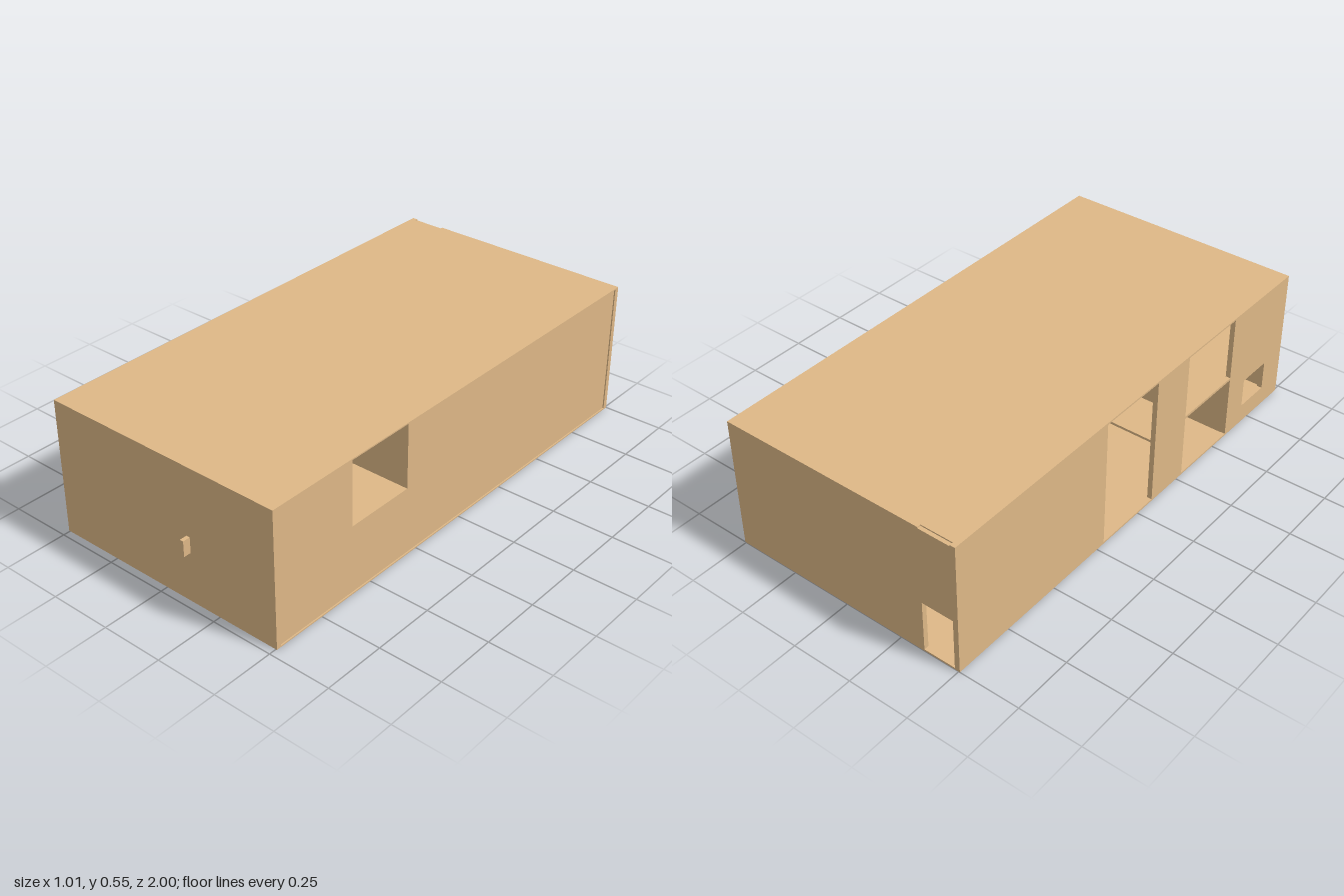
import * as THREE from 'three';

const X = 0.505, BACK = -1, FRONT = 0.97, T = 0.02; // outer extents and wall thickness
const BASE = 0.005, MID = 0.275, EAVE = 0.54, TOP = 0.545;

export function createModel() {
  const house = new THREE.Group();
  house.name = 'house';
  const material = new THREE.MeshStandardMaterial({ color: 0xdeb887, side: THREE.DoubleSide });

  const add = (name, geometry) => {
    const mesh = new THREE.Mesh(geometry, material);
    mesh.name = name;
    house.add(mesh);
    return mesh;
  };

  // box given by its lower and upper corners
  const box = (name, x0, x1, y0, y1, z0, z1) => {
    const g = new THREE.BoxGeometry(x1 - x0, y1 - y0, z1 - z0);
    g.translate((x0 + x1) / 2, (y0 + y1) / 2, (z0 + z1) / 2);
    return add(name, g);
  };

  const path = (points, Type) => new Type(points.map(([a, b]) => new THREE.Vector2(a, b)));
  const rect = (a0, a1, b0, b1) => [[a0, b0], [a1, b0], [a1, b1], [a0, b1]];
  const panel = (outline, holes, depth) => {
    const shape = path(outline, THREE.Shape);
    shape.holes = holes.map((h) => path(rect(...h).reverse(), THREE.Path));
    return new THREE.ExtrudeGeometry(shape, { depth, bevelEnabled: false });
  };

  // side wall drawn in z and y, thickened towards -x from its outer plane
  const sideWall = (name, xMax, holes) => {
    const g = panel(rect(BACK + T, FRONT - T, BASE, EAVE), holes, T);
    g.rotateY(-Math.PI / 2);
    g.translate(xMax, 0, 0);
    add(name, g);
  };

  // ground slab
  box('groundSlab', -X, X, 0, BASE, BACK, FRONT);

  // side walls with window and door openings: z0, z1, y0, y1
  sideWall('leftWall', X - 0.005, [[0.3, 0.595, MID, 0.538]]);
  sideWall('rightWall', -X + T, [
    [-0.21, 0.09, 0.007, 0.538],
    [0.285, 0.59, MID, 0.538],
    [0.285, 0.59, 0.007, 0.265],
    [0.7, 0.85, 0.08, 0.2],
  ]);
  box('upperLeftCladding', X - 0.005, X, 0.27, EAVE, 0.595, FRONT - T);

  // front wall and its handle
  box('frontWall', -X, X, BASE, EAVE, FRONT - T, FRONT);
  box('frontHandle', 0.113, 0.128, 0.205, 0.268, FRONT, 1);

  // back wall with a doorway
  const back = panel(rect(-X, X, BASE, EAVE), [[-0.484, -0.352, 0.007, 0.22]], T);
  back.translate(0, 0, BACK);
  add('backWall', back);

  // upper floor around the open stairwell
  const inX = X - T;
  box('upperFloorFront', -inX, inX - 0.005, 0.265, MID, 0.09, FRONT - T);
  box('upperFloorBack', -inX, inX - 0.005, 0.265, MID, BACK + T, -0.21);
  box('upperFloorLanding', -0.1, inX - 0.005, 0.265, MID, -0.21, 0.09);

  // room dividers
  box('upperDivider', -inX, inX - 0.005, MID, EAVE, 0.28, 0.3);
  box('lowerDivider', -inX, inX - 0.005, BASE, 0.265, 0.59, 0.61);

  // flat roof with a shallow notch above the back door
  const roof = panel([
    [-X, -FRONT], [X, -FRONT], [X, -BACK], [-0.352, -BACK],
    [-0.352, 0.985], [-0.484, 0.985], [-0.484, -BACK], [-X, -BACK],
  ], [], TOP - EAVE);
  roof.rotateX(-Math.PI / 2);
  roof.translate(0, EAVE, 0);
  add('roof', roof);

  return house;
}
